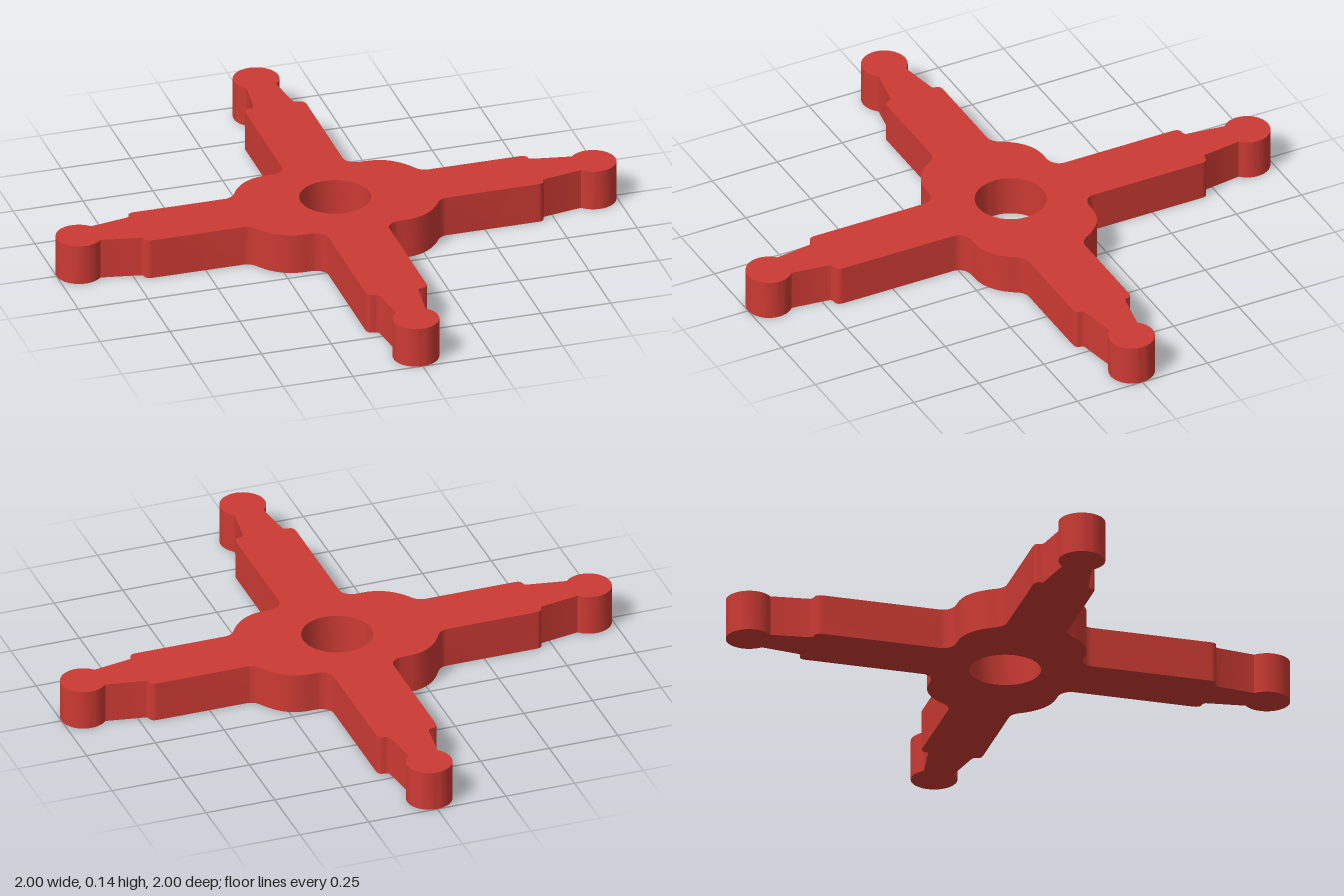
import * as THREE from 'three';
import { toCreasedNormals } from 'three/addons/utils/BufferGeometryUtils.js';

const HEIGHT = 0.145;

// Outline of one quadrant, from the tip of the x arm to the tip of the y arm.
function quarterOutline(hub) {
  const p = new THREE.Path();
  const r = 0.08, c = 0.92, a = 2.42; // ball end radius, centre, neck angle
  p.absarc(c, 0, r, 0, a, false);
  // tapered neck and rounded step of the x arm
  p.lineTo(0.727, 0.077);
  p.quadraticCurveTo(0.714, 0.079, 0.714, 0.09);
  p.quadraticCurveTo(0.712, 0.108, 0.69, 0.108);
  // x arm edge, fillet, hub shoulder, fillet
  p.lineTo(0.36, 0.108);
  p.quadraticCurveTo(0.335, 0.112, 0.32, 0.14);
  p.bezierCurveTo(0.285, hub - 0.03, 0.24, hub, 0.18, hub);
  p.lineTo(0.16, hub);
  p.bezierCurveTo(0.135, hub, 0.109, hub + 0.015, 0.109, hub + 0.045);
  // y arm edge, rounded step and neck
  p.lineTo(0.109, 0.69);
  p.quadraticCurveTo(0.108, 0.712, 0.09, 0.714);
  p.quadraticCurveTo(0.072, 0.714, 0.07, 0.727);
  p.absarc(0, c, r, Math.PI / 2 - a, Math.PI / 2, false);
  return p.getPoints(10);
}

export function createModel() {
  const group = new THREE.Group();
  group.name = 'crossBracket';

  // Mirror the quadrant around the cross; the back shoulder is slightly deeper.
  const outline = [];
  for (const [sx, sy] of [[1, 1], [-1, 1], [-1, -1], [1, -1]]) {
    const pts = quarterOutline(sy > 0 ? 0.23 : 0.222)
      .map(v => new THREE.Vector2(v.x * sx, v.y * sy));
    if (sx * sy < 0) pts.reverse();
    outline.push(...pts.slice(0, -1));
  }
  const shape = new THREE.Shape(outline);

  // Central bore
  const bore = new THREE.Path();
  bore.absarc(0, 0.01, 0.123, 0, Math.PI * 2, true);
  shape.holes.push(bore);

  const geometry = new THREE.ExtrudeGeometry(shape, {
    depth: HEIGHT, bevelEnabled: false, curveSegments: 20,
  });
  geometry.rotateX(-Math.PI / 2);

  const plate = new THREE.Mesh(
    toCreasedNormals(geometry, Math.PI / 6),
    new THREE.MeshStandardMaterial({ color: 0xcc3a33 }),
  );
  plate.name = 'crossPlate';
  group.add(plate);
  return group;
}
